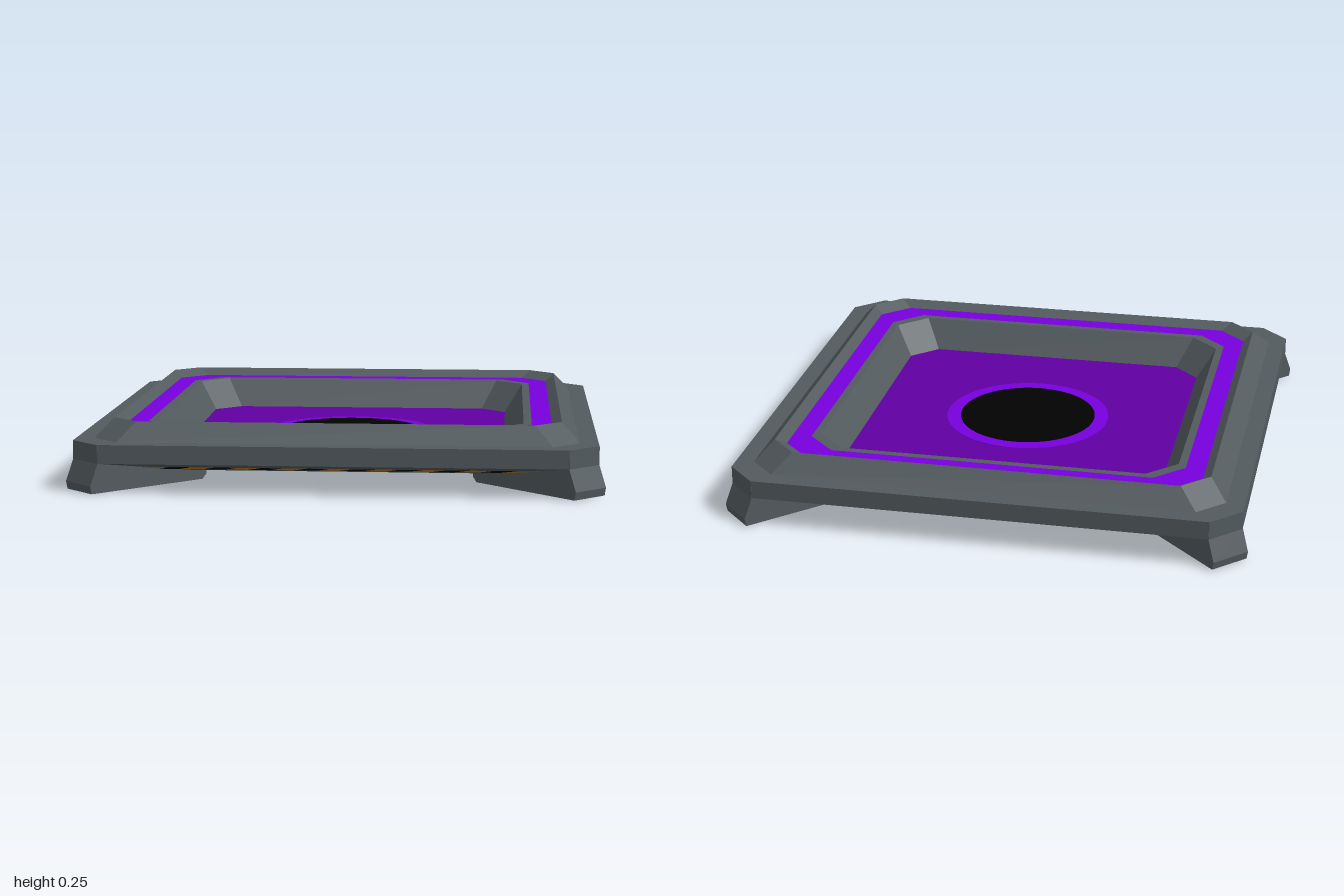
import * as THREE from 'three';

const mat = (name, color) => {
  const m = new THREE.MeshStandardMaterial({ color, flatShading: true });
  m.name = name;
  return m;
};

// Corner points of a square of half size h with corners cut by c
function octagon(h, c) {
  const k = h - c;
  return [[h, -k], [h, k], [k, h], [-k, h], [-h, k], [-h, -k], [-k, -h], [k, -h]];
}

// Skin a list of [half size, corner cut, height] loops
function loft(loops) {
  const pos = [];
  const rings = loops.map(([h, c, y]) => octagon(h, c).map(([x, z]) => [x, y, z]));
  for (let i = 0; i < rings.length - 1; i++) {
    for (let j = 0; j < 8; j++) {
      const n = (j + 1) % 8;
      const a = rings[i][j], b = rings[i][n], c = rings[i + 1][j], d = rings[i + 1][n];
      pos.push(...a, ...c, ...b, ...b, ...c, ...d);
    }
  }
  return fromPositions(pos);
}

function fromPositions(pos) {
  const g = new THREE.BufferGeometry();
  g.setAttribute('position', new THREE.Float32BufferAttribute(pos, 3));
  g.computeVertexNormals();
  return g;
}

// Slanted stripes lying on the shallow underside of the front edge
function stripeGeometry(parity) {
  const pos = [], count = 17, width = 0.086, slant = 0.06;
  const point = (x, t) => [x, 0.11 - 0.07 * t - 0.003, 0.975 - 0.305 * t];
  for (let i = parity; i < count; i += 2) {
    const x0 = (i - count / 2) * width - slant / 2, x1 = x0 + width;
    const bl = point(x0, 0.67), br = point(x1, 0.67);
    const tr = point(x1 + slant, 0.29), tl = point(x0 + slant, 0.29);
    pos.push(...bl, ...br, ...tr, ...bl, ...tr, ...tl);
  }
  return fromPositions(pos);
}

export function createModel() {
  const grey = mat('frame grey', 0x535b5f);
  const violet = mat('bright violet', 0x7800de);
  const purple = mat('floor purple', 0x6000a2);
  const black = mat('black', 0x020202);
  const orange = mat('hazard orange', 0xc67a18);

  const model = new THREE.Group();
  const add = (name, geometry, material, parent = model) => {
    const mesh = new THREE.Mesh(geometry, material);
    mesh.name = name;
    parent.add(mesh);
    return mesh;
  };

  // Frame: inner wall, shallow underside, outer wall, bevel and sloping lip
  add('outerFrame', loft([
    [0.66, 0.1, 0.1], [0.67, 0.1, 0.04], [0.975, 0.11, 0.11],
    [0.975, 0.11, 0.18], [0.905, 0.1, 0.18], [0.84, 0.1, 0.25], [0.805, 0.105, 0.22],
  ]), grey);
  add('lightStrip', loft([[0.805, 0.105, 0.22], [0.73, 0.11, 0.22]]), violet);
  add('innerFrame', loft([
    [0.73, 0.11, 0.22], [0.7, 0.11, 0.22], [0.625, 0.1, 0.1],
  ]), grey);

  // Floor plate
  const floorShape = new THREE.Shape(octagon(0.665, 0.1).map(([x, y]) => new THREE.Vector2(x, y)));
  const floor = new THREE.ExtrudeGeometry(floorShape, { depth: 0.02, bevelEnabled: false });
  floor.rotateX(-Math.PI / 2);
  add('floor', floor, purple).position.y = 0.085;

  // Ring and centre disc, showing on both sides of the floor
  add('centreRing', new THREE.CylinderGeometry(0.33, 0.33, 0.025, 48), violet).position.y = 0.095;
  add('centreDisc', new THREE.CylinderGeometry(0.274, 0.274, 0.03, 48), black).position.y = 0.095;

  // Hazard stripes on all four sides
  const orangeStripes = stripeGeometry(0), blackStripes = stripeGeometry(1);
  for (let i = 0; i < 4; i++) {
    const side = new THREE.Group();
    side.name = 'hazardStripes';
    side.rotation.y = i * Math.PI / 2;
    add('orangeStripes', orangeStripes, orange, side);
    add('blackStripes', blackStripes, black, side);
    model.add(side);
  }

  // Corner legs: wedge profile running along each diagonal, with a pad below
  const legShape = new THREE.Shape([
    [0.82, 0], [1.328, 0], [1.334, 0.03], [1.3, 0.11], [1.3, 0.179], [1.215, 0.179],
    [1.2, 0.11], [0.8, 0.035], [0.8, 0.02],
  ].map(([x, y]) => new THREE.Vector2(x, y)));
  const legGeometry = new THREE.ExtrudeGeometry(legShape, { depth: 0.16, bevelEnabled: false });
  legGeometry.translate(0, 0, -0.08);
  const padGeometry = new THREE.BoxGeometry(0.47, 0.004, 0.1);
  for (let i = 0; i < 4; i++) {
    const corner = new THREE.Group();
    corner.name = 'cornerLeg';
    corner.rotation.y = Math.PI / 4 + i * Math.PI / 2;
    add('leg', legGeometry, grey, corner);
    add('footPad', padGeometry, violet, corner).position.set(1.072, 0, 0);
    model.add(corner);
  }
  model.position.y = 0.002;
  return model;
}
